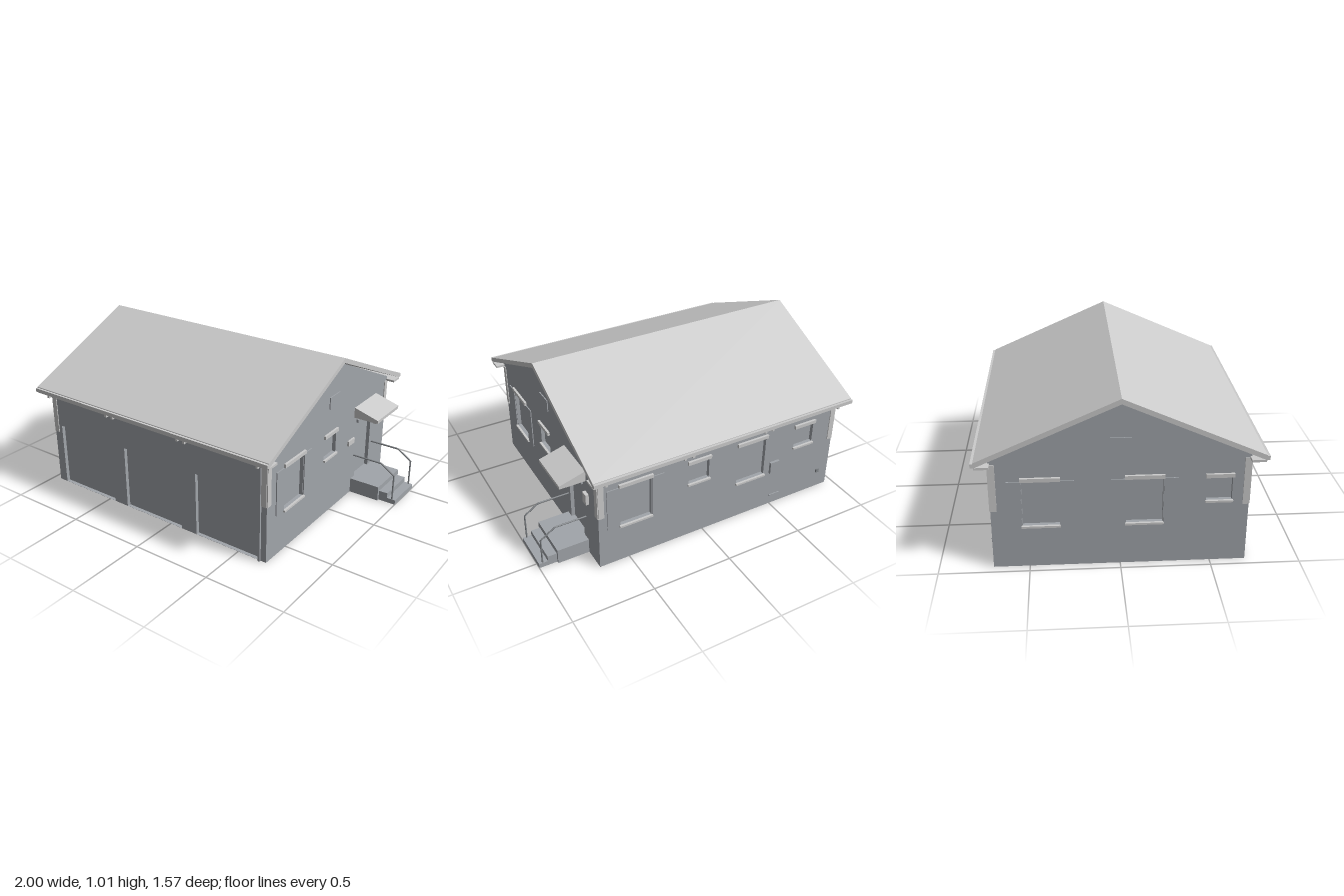
import * as THREE from 'three';

const mat = (name, color) => {
  const m = new THREE.MeshStandardMaterial({ color, side: THREE.DoubleSide });
  m.name = name;
  return m;
};

export function createModel() {
  const wallMat = mat('wall grey', 0xa1a5aa);
  const trimMat = mat('light trim', 0xcccccc);
  const railMat = mat('rail grey', 0x85898d);
  const model = new THREE.Group();
  model.name = 'garageHouse';

  const add = (parent, name, geometry, material) => {
    const m = new THREE.Mesh(geometry, material);
    m.name = name;
    parent.add(m);
    return m;
  };
  // box given by its minimum and maximum corners
  const box = (parent, name, material, x0, x1, y0, y1, z0, z1) => {
    const m = add(parent, name, new THREE.BoxGeometry(x1 - x0, y1 - y0, z1 - z0), material);
    m.position.set((x0 + x1) / 2, (y0 + y1) / 2, (z0 + z1) / 2);
    return m;
  };
  const outline = (pts) => new THREE.Shape(pts.map(([x, y]) => new THREE.Vector2(x, y)));

  const T = 0.025; // wall thickness, also the depth of the reveals
  const EAVE = 0.66;

  // Wall with its outer face on local z = 0; u runs to the viewer's right.
  // Openings are [name, u0, u1, y0, y1]
  function wall(name, u0, u1, gable, openings, x, z, turn) {
    const g = new THREE.Group();
    g.name = name;
    const pts = [[u0, 0], [u1, 0], [u1, EAVE]];
    if (gable) pts.push([(u0 + u1) / 2, 0.98]);
    pts.push([u0, EAVE]);
    const shape = outline(pts);
    for (const [, a, b, c, d] of openings) {
      const y = Math.max(c, 0.001);
      shape.holes.push(outline([[a, y], [a, d], [b, d], [b, y]]));
    }
    const geo = new THREE.ExtrudeGeometry(shape, { depth: T, bevelEnabled: false });
    geo.translate(0, 0, -T);
    add(g, name + 'Panel', geo, wallMat);
    for (const [part, a, b, c, d] of openings) {
      box(g, part, wallMat, a, b, c, d, -T - 0.004, -T + 0.002);
    }
    // light boards on the upper half of both corners
    box(g, 'cornerBoard', trimMat, u0, u0 + 0.035, 0.355, 0.635, 0, 0.005);
    box(g, 'cornerBoard', trimMat, u1 - 0.035, u1, 0.355, 0.635, 0, 0.005);
    g.position.set(x, 0, z);
    g.rotation.y = turn;
    model.add(g);
    return g;
  }

  const bigWindow = (u) => ['windowPane', u - 0.1, u + 0.1, 0.26, 0.53];
  const smallWindow = (u) => ['windowPane', u - 0.07, u + 0.07, 0.385, 0.525];

  // lintel and sill of an opening
  function windowTrim(g, [, a, b, c, d]) {
    box(g, 'windowHeader', trimMat, a - 0.008, b + 0.008, d, d + 0.022, 0, 0.014);
    box(g, 'windowSill', trimMat, a - 0.006, b + 0.006, c - 0.012, c, 0, 0.014);
  }
  function shutters(g, [, a, b, c, d]) {
    box(g, 'shutter', wallMat, a - 0.082, a - 0.004, c, d, 0, 0.006);
    box(g, 'shutter', wallMat, b + 0.004, b + 0.082, c, d, 0, 0.006);
  }

  // Front wall with three garage doors
  const garage = [-0.89, -0.35, 0.198].map((u) => ['garageDoor', u, u + 0.437, 0, 0.405]);
  const front = wall('frontWall', -0.95, 0.69, false, garage, 0, 0.7, 0);
  box(front, 'downpipe', wallMat, 0.64, 0.654, 0, 0.625, 0, 0.012);

  // Entrance wall
  const entranceWins = [bigWindow(-0.43), smallWindow(-0.028)];
  const entrance = wall('entranceWall', -0.7, 0.7, true,
    [...entranceWins, ['entranceDoor', 0.315, 0.5, 0.095, 0.478]], 0.69, 0, Math.PI / 2);
  entranceWins.forEach((w) => windowTrim(entrance, w));
  shutters(entrance, entranceWins[0]);
  box(entrance, 'doorHeader', wallMat, 0.303, 0.513, 0.478, 0.5, 0, 0.012);
  box(entrance, 'letterBox', trimMat, 0.195, 0.27, 0.357, 0.39, 0, 0.012);
  box(entrance, 'wallLamp', trimMat, 0.542, 0.585, 0.38, 0.45, 0, 0.02);
  box(entrance, 'gableVent', wallMat, -0.057, 0.057, 0.7, 0.775, 0, 0.006);

  // Back wall
  const backWins = [bigWindow(-0.455), smallWindow(-0.04), bigWindow(0.332), smallWindow(0.718)];
  const back = wall('backWall', -0.69, 0.95, false, backWins, 0, -0.7, Math.PI);
  backWins.forEach((w) => windowTrim(back, w));
  shutters(back, backWins[0]);
  box(back, 'meterBox', wallMat, 0.475, 0.54, 0.25, 0.33, 0, 0.016);
  box(back, 'ventSlot', wallMat, 0.495, 0.57, 0.06, 0.07, 0, 0.006);
  box(back, 'tap', railMat, 0.858, 0.878, 0.115, 0.14, 0, 0.01);

  // Far side wall
  const sideWins = [bigWindow(-0.43), bigWindow(0.13), smallWindow(0.535)];
  const side = wall('sideWall', -0.7, 0.7, true, sideWins, -0.95, 0, -Math.PI / 2);
  sideWins.forEach((w) => windowTrim(side, w));
  sideWins.slice(0, 2).forEach((w) => shutters(side, w));
  box(side, 'gableVent', wallMat, -0.057, 0.057, 0.7, 0.775, 0, 0.006);

  // Roof: folded slab run along x
  const roof = new THREE.ExtrudeGeometry(outline([
    [-0.77, 0.672], [-0.77, 0.642], [0, 0.983], [0.77, 0.642], [0.77, 0.672], [0, 1.013],
  ]), { depth: 1.745, bevelEnabled: false });
  roof.rotateY(Math.PI / 2);
  roof.translate(-1, 0, 0);
  add(model, 'roof', roof, trimMat);

  // Eaves: gutter, soffit and small brackets on both long sides
  for (const s of [-1, 1]) {
    const strip = (name, x0, x1, y0, y1, za, zb) =>
      box(model, name, trimMat, x0, x1, y0, y1, Math.min(s * za, s * zb), Math.max(s * za, s * zb));
    strip('gutter', -1, 0.745, 0.645, 0.668, 0.765, 0.785);
    strip('soffit', -1, 0.745, 0.632, 0.645, 0.69, 0.768);
    for (const x of [-0.92, -0.43, -0.378, 0.115, 0.168, 0.66]) {
      strip('eaveBracket', x - 0.007, x + 0.007, 0.612, 0.634, 0.7, 0.76);
    }
  }

  // Door canopy: sloped wedge
  const canopy = new THREE.ExtrudeGeometry(outline([
    [0.69, 0.525], [0.85, 0.525], [0.85, 0.545], [0.69, 0.592],
  ]), { depth: 0.285, bevelEnabled: false });
  canopy.translate(0, 0, -0.553);
  add(model, 'doorCanopy', canopy, trimMat);

  // Entrance steps
  box(model, 'landing', wallMat, 0.69, 0.888, 0, 0.095, -0.555, -0.268);
  box(model, 'middleStep', wallMat, 0.888, 0.945, 0, 0.063, -0.54, -0.285);
  box(model, 'lowerStep', wallMat, 0.945, 1, 0, 0.03, -0.54, -0.285);

  // Handrails
  for (const z of [-0.291, -0.533]) {
    const path = new THREE.CurvePath();
    const pts = [[0.69, 0.255], [0.885, 0.255], [0.976, 0.195], [0.976, 0.03]]
      .map(([x, y]) => new THREE.Vector3(x, y, z));
    for (let i = 0; i < 3; i++) path.add(new THREE.LineCurve3(pts[i], pts[i + 1]));
    add(model, 'handrail', new THREE.TubeGeometry(path, 40, 0.005, 6), railMat);
  }
  return model;
}
